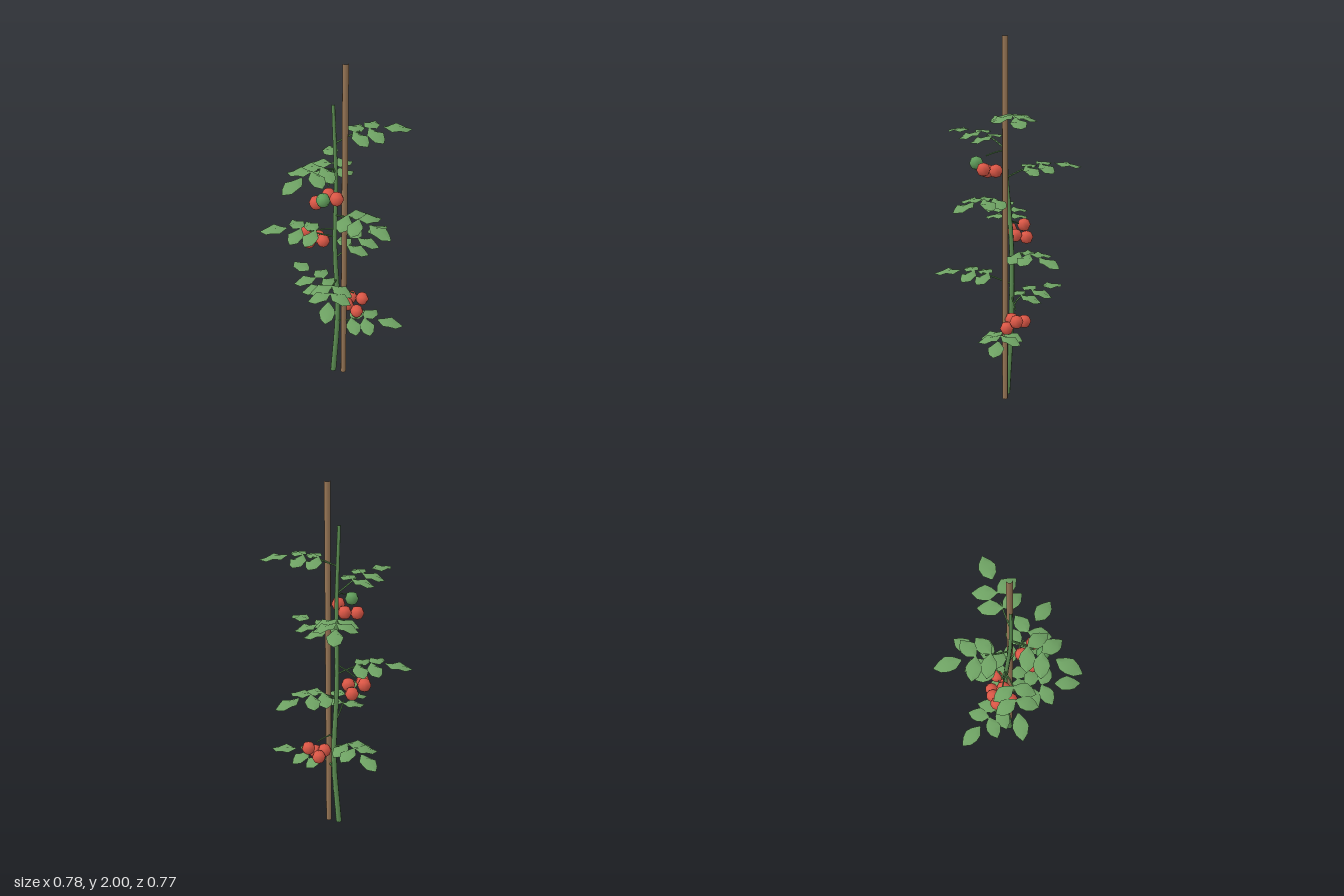
import * as THREE from 'three';

const mat = (name, color, extra = {}) => {
  const m = new THREE.MeshStandardMaterial({ color, ...extra });
  m.name = name;
  return m;
};
const V = (x, y, z) => new THREE.Vector3(x, y, z);
const UP = V(0, 1, 0);

export function createModel() {
  const leafGreen = mat('leaf green', 0x6ea263, { side: THREE.DoubleSide });
  const stemGreen = mat('stem green', 0x5f9355);
  const wood = mat('stake wood', 0x9a7857);
  const ripeRed = mat('ripe red', 0xdc5746);
  const unripeGreen = mat('unripe green', 0x629f5c);

  const model = new THREE.Group();
  model.name = 'stakedTomatoPlant';
  const add = (parent, name, geometry, material) => {
    const mesh = new THREE.Mesh(geometry, material);
    mesh.name = name;
    parent.add(mesh);
    return mesh;
  };
  const tube = (points, radius) =>
    new THREE.TubeGeometry(new THREE.CatmullRomCurve3(points), 6, radius, 5);

  // Stake: an open-ended pole
  add(model, 'stake', new THREE.CylinderGeometry(0.016, 0.016, 2, 7, 1, true), wood).position.set(0.055, 1, -0.002);

  // Main stem: an open tapered cylinder bent along a gently swaying line
  const stemHeight = 1.78;
  const sway = new THREE.CatmullRomCurve3([
    V(-0.005, 0, -0.003), V(0.015, 0.445, -0.028), V(-0.001, 0.89, -0.026),
    V(0.01, 1.335, 0.002), V(-0.003, 1.78, 0.004),
  ]);
  const stemAt = (y) => sway.getPoint(THREE.MathUtils.clamp(y / stemHeight, 0, 1)).setY(y);
  const stem = new THREE.CylinderGeometry(0.009, 0.017, stemHeight, 7, 16, true);
  stem.translate(0, stemHeight / 2, 0);
  const sp = stem.attributes.position;
  for (let i = 0; i < sp.count; i++) {
    const c = stemAt(sp.getY(i));
    sp.setX(i, sp.getX(i) + c.x);
    sp.setZ(i, sp.getZ(i) + c.z);
  }
  add(model, 'mainStem', stem, stemGreen);

  // Leaflet: a pointed blade along +x, with crinkled edges and a drooping tip
  const halfWidths = [0.1, 0.8, 1, 0.72, 0];
  const edgeDrops = [0, 0.015, 0.003, 0.012, 0];
  const leafletGeometry = (length, halfWidth) => {
    const g = new THREE.PlaneGeometry(1, 2, 4, 2).rotateX(-Math.PI / 2);
    const p = g.attributes.position;
    for (let i = 0; i < p.count; i++) {
      const t = p.getX(i) + 0.5;
      const s = p.getZ(i);
      const k = Math.round(t * 4);
      p.setXYZ(i, t * length, 0.008 * t - 0.034 * t * t - edgeDrops[k] * Math.abs(s), s * halfWidths[k] * halfWidth);
    }
    g.computeVertexNormals();
    return g;
  };
  const endBlade = leafletGeometry(0.147, 0.043);
  const sideBlade = leafletGeometry(0.127, 0.042);

  // Compound leaves spiralling up the stem
  for (let i = 0; i < 9; i++) {
    const y = 0.37 + 0.149 * i;
    const angle = THREE.MathUtils.degToRad(-0.5 - 137.5 * i);
    const leaf = new THREE.Group();
    leaf.name = 'leaf';
    leaf.position.y = y;
    leaf.rotation.y = -angle;
    const root = stemAt(y).setY(0).applyAxisAngle(UP, angle);
    add(leaf, 'petiole', tube([root, V(0.08, 0.036, 0), V(0.13, 0.054, 0)], 0.0045), stemGreen);
    add(leaf, 'endLeaflet', endBlade, leafGreen).position.set(0.248, 0.069, 0);
    for (const [d, h] of [[0.097, 0.055], [0.174, 0.067]]) {
      for (const side of [-1, 1]) {
        const blade = add(leaf, 'sideLeaflet', sideBlade, leafGreen);
        blade.position.set(d, h, 0);
        blade.rotation.y = side * THREE.MathUtils.degToRad(65);
      }
    }
    model.add(leaf);
  }

  // Fruit trusses: stalk height, stalk end, then fruit centres
  const fruitGeometry = new THREE.SphereGeometry(0.037, 10, 4);
  const trusses = [
    { y: 0.6, end: V(0.1, 0.552, -0.068),
      fruit: [[0.145, 0.51, -0.08], [0.075, 0.485, -0.11], [0.125, 0.46, -0.025], [0.067, 0.487, -0.04]] },
    { y: 1.02, end: V(-0.11, 0.975, -0.045),
      fruit: [[-0.165, 0.95, -0.065], [-0.135, 0.932, 0.005], [-0.067, 0.92, -0.035], [-0.105, 0.9, -0.09]] },
    { y: 1.41, end: V(-0.008, 1.37, 0.11),
      fruit: [[0.038, 1.307, 0.115], [-0.015, 1.288, 0.06], [-0.067, 1.27, 0.115], [-0.02, 1.325, 0.165]], unripe: 3 },
  ];
  for (const { y, end, fruit, unripe } of trusses) {
    const truss = new THREE.Group();
    truss.name = 'fruitTruss';
    const root = stemAt(y);
    const middle = root.clone().lerp(end, 0.5).add(V(0, 0.004, 0));
    add(truss, 'trussStalk', tube([root, middle, end], 0.004), stemGreen);
    fruit.forEach((c, k) => {
      add(truss, 'fruit', fruitGeometry, k === unripe ? unripeGreen : ripeRed).position.set(...c);
    });
    model.add(truss);
  }
  return model;
}
